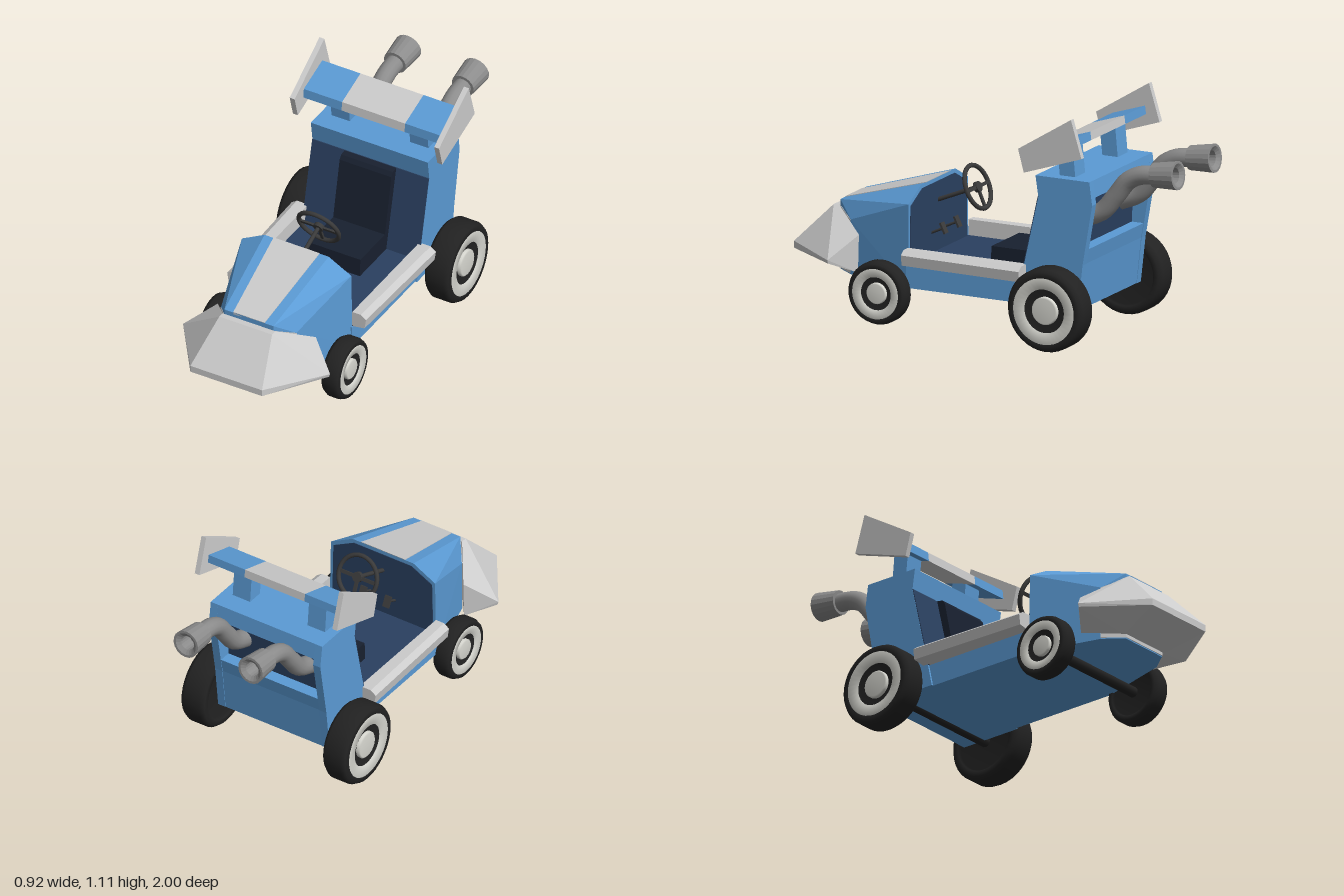
import * as THREE from 'three';
import { ConvexGeometry } from 'three/addons/geometries/ConvexGeometry.js';

const mat = (color, flatShading = true) =>
  new THREE.MeshStandardMaterial({ color, flatShading, side: THREE.DoubleSide });
const GREY = mat(0xcccccc), BLUE = mat(0x5b9bd5), NAVY = mat(0x2a4060), SEAT = mat(0x18202f);
const TYRE = mat(0x222222, false), RIM = mat(0xd6d6cf, false), PIPE = mat(0x8c8c8c, false), DARK = mat(0x3a3a3a, false);

export function createModel() {
  const kart = new THREE.Group();
  kart.name = 'goKart';

  const add = (name, geometry, material, parent = kart) => {
    const mesh = new THREE.Mesh(geometry, material);
    mesh.name = name;
    parent.add(mesh);
    return mesh;
  };
  // Faceted solid around a set of corners
  const hull = (name, points, material) =>
    add(name, new ConvexGeometry(points.map(p => new THREE.Vector3(...p))), material);
  // Corners repeated on both sides of the centre line
  const both = points => points.flatMap(([x, y, z]) => [[x, y, z], [-x, y, z]]);
  // Side profile of [z, y] points extended across x
  const prism = (name, profile, x0, x1, material) => {
    const shape = new THREE.Shape(profile.map(p => new THREE.Vector2(...p)));
    const g = new THREE.ExtrudeGeometry(shape, { depth: x1 - x0, bevelEnabled: false });
    return add(name, g.rotateY(-Math.PI / 2).translate(x1, 0, 0), material);
  };
  // Straight round bar between two points
  const rod = (name, a, b, r, material) => {
    const path = new THREE.LineCurve3(new THREE.Vector3(...a), new THREE.Vector3(...b));
    return add(name, new THREE.TubeGeometry(path, 1, r, 12), material);
  };

  // Chassis and floor
  prism('chassis', [[0.36, 0.18], [0.36, 0.29], [-0.5, 0.29], [-0.5, 0.18]], -0.3, 0.3, BLUE);
  prism('floor', [[0.35, 0.285], [0.35, 0.295], [-0.26, 0.295], [-0.26, 0.285]], -0.298, 0.298, NAVY);

  // Hood with stripe, rear opening and nose plate
  hull('hood', both([
    [0.17, 0.64, 0.35], [0.29, 0.575, 0.35], [0.297, 0.18, 0.35],
    [0.13, 0.51, 0.79], [0.2, 0.44, 0.7], [0.13, 0.18, 0.79], [0.2, 0.18, 0.7],
  ]), BLUE);
  hull('hoodStripe', both([
    [0.122, 0.643, 0.35], [0.083, 0.513, 0.79], [0.122, 0.63, 0.352], [0.083, 0.5, 0.79],
  ]), GREY);
  hull('hoodOpening', both([
    [0.16, 0.622, 0.347], [0.274, 0.562, 0.347], [0.28, 0.29, 0.347],
    [0.16, 0.622, 0.355], [0.274, 0.562, 0.355], [0.28, 0.29, 0.355],
  ]), NAVY);
  hull('nosePlate', both([
    [0.13, 0.485, 0.794], [0.13, 0.185, 0.794], [0.203, 0.44, 0.7], [0.203, 0.185, 0.7],
  ]), GREY);

  // Bumper: centre wedge and two swept-back ends
  const inner = [[0.14, 0.485, 0.82], [0.14, 0.485, 0.79], [0.19, 0.3, 1], [0.19, 0.267, 1], [0.14, 0.2, 0.79]];
  const outer = [[0.26, 0.39, 0.625], [0.39, 0.287, 0.72], [0.385, 0.27, 0.72], [0.26, 0.21, 0.63]];
  hull('bumperCentre', both(inner), GREY);
  for (const s of [1, -1]) {
    hull('bumperEnd', [...inner, ...outer].map(([x, y, z]) => [s * x, y, z]), GREY);
  }

  // Side pods
  for (const s of [1, -1]) {
    const section = [[0.295, 0.37], [0.355, 0.37], [0.383, 0.35], [0.375, 0.3], [0.295, 0.29]];
    hull('sidePod', section.flatMap(([x, y]) => [
      [s * (x - (x > 0.3 ? 0.015 : 0)), y, 0.35], [s * x, y, -0.27],
    ]), GREY);
  }

  // Rear tower: side walls, dark core, lintel and sill around the engine recess
  const wall = [
    [-0.22, 0.18], [-0.245, 0.3], [-0.335, 0.7], [-0.32, 0.8],
    [-0.6, 0.8], [-0.615, 0.69], [-0.565, 0.4], [-0.54, 0.18],
  ];
  prism('towerWall', wall, 0.27, 0.31, BLUE);
  prism('towerWall', wall, -0.31, -0.27, BLUE);
  prism('towerCore', [[-0.25, 0.19], [-0.25, 0.3], [-0.338, 0.7], [-0.525, 0.7], [-0.5, 0.19]], -0.27, 0.27, NAVY);
  prism('towerFront', [[-0.238, 0.29], [-0.331, 0.7], [-0.345, 0.7], [-0.255, 0.29]], -0.309, 0.309, NAVY);
  prism('towerLintel', [[-0.335, 0.7], [-0.32, 0.8], [-0.6, 0.8], [-0.61, 0.72], [-0.53, 0.69]], -0.27, 0.27, BLUE);
  prism('towerSill', [[-0.49, 0.18], [-0.5, 0.47], [-0.575, 0.47], [-0.562, 0.4], [-0.538, 0.18]], -0.27, 0.27, BLUE);

  // Seat
  prism('seatCushion', [[0.005, 0.29], [0, 0.385], [-0.26, 0.385], [-0.25, 0.29]], -0.137, 0.137, SEAT);
  prism('seatBack', [[-0.225, 0.38], [-0.285, 0.675], [-0.3, 0.695], [-0.335, 0.7], [-0.26, 0.38]], -0.137, 0.137, SEAT);

  // Steering wheel and column
  rod('steeringColumn', [0, 0.52, 0.38], [0, 0.617, 0.145], 0.01, DARK);
  const steering = new THREE.Group();
  steering.name = 'steeringWheel';
  steering.position.set(0, 0.617, 0.145);
  steering.rotation.x = 0.4;
  kart.add(steering);
  add('steeringRim', new THREE.TorusGeometry(0.104, 0.011, 8, 32), DARK, steering);
  add('steeringHub', new THREE.CylinderGeometry(0.025, 0.025, 0.02, 16).rotateX(Math.PI / 2), DARK, steering);
  for (const a of [0, Math.PI, -Math.PI / 2]) {
    const spoke = new THREE.BoxGeometry(0.1, 0.016, 0.01).translate(0.052, 0, 0).rotateZ(a);
    add('steeringSpoke', spoke, DARK, steering);
  }

  // Pedals
  for (const x of [0.068, -0.068]) {
    rod('pedalArm', [x, 0.385, 0.36], [x, 0.42, 0.285], 0.006, DARK);
    const pedal = add('pedal', new THREE.BoxGeometry(0.034, 0.055, 0.01), DARK);
    pedal.position.set(x, 0.42, 0.285);
    pedal.rotation.x = 0.45;
  }

  // Spoiler: struts, wing in three colour sections, end plates
  const wing = [[-0.355, 0.9], [-0.36, 0.945], [-0.53, 1.0], [-0.535, 0.96]];
  prism('wingCentre', wing, -0.167, 0.167, GREY);
  for (const s of [1, -1]) {
    const across = (name, profile, a, b, m) =>
      prism(name, profile, Math.min(s * a, s * b), Math.max(s * a, s * b), m);
    across('wingSide', wing, 0.167, 0.37, BLUE);
    across('wingStrut', [[-0.42, 0.79], [-0.405, 0.93], [-0.485, 0.95], [-0.5, 0.79]], 0.16, 0.257, BLUE);
    across('endPlate', [[-0.275, 0.94], [-0.55, 1.11], [-0.605, 0.93], [-0.305, 0.83]], 0.37, 0.396, GREY);
  }

  // Exhaust pipes with flared hollow tips
  const bend = [[0.59, -0.5], [0.635, -0.6], [0.715, -0.67], [0.795, -0.735], [0.828, -0.8], [0.838, -0.89]];
  const tip = [[0, 0.04], [0.036, 0.04], [0.036, 0.11], [0.056, 0.125], [0.068, 0.125], [0.058, 0], [0, 0]];
  for (const x of [0.18, -0.18]) {
    const path = new THREE.CatmullRomCurve3(bend.map(([y, z]) => new THREE.Vector3(x, y, z)));
    add('exhaustPipe', new THREE.TubeGeometry(path, 24, 0.044, 14), PIPE);
    const flare = add('exhaustTip', new THREE.LatheGeometry(tip.map(p => new THREE.Vector2(...p)), 18), mat(0x8c8c8c));
    flare.position.set(x, 0.838, -0.87);
    flare.rotation.x = -Math.PI / 2 + 0.1;
  }

  // Wheels: tyre, pale ring and hub cap, turned around the axle
  const lathe = points => new THREE.LatheGeometry(points.map(p => new THREE.Vector2(...p)), 36);
  const wheel = (name, r, w, x, z, s) => {
    const g = new THREE.Group();
    g.name = name;
    g.position.set(s * x, r + 0.003, z);
    g.rotation.z = -s * Math.PI / 2;
    kart.add(g);
    add('tyre', lathe([
      [0, 0.015], [0.75 * r, 0.015], [0.78 * r, 0], [0.92 * r, 0], [r, 0.02], [r, w - 0.025],
      [0.94 * r, w - 0.004], [0.8 * r, w - 0.002], [0.79 * r, w - 0.012], [0.52 * r, w - 0.012],
      [0.5 * r, w - 0.025], [0, w - 0.025],
    ]), TYRE, g);
    add('wheelRing', lathe([
      [0.8 * r, w - 0.015], [0.8 * r, w - 0.001], [0.53 * r, w - 0.006], [0.52 * r, w - 0.025],
    ]), RIM, g);
    add('hubCap', lathe([
      [0.335 * r, w - 0.03], [0.335 * r, w - 0.012], [0.3 * r, w - 0.006], [0, w - 0.006],
    ]), RIM, g);
  };
  for (const s of [1, -1]) {
    wheel('frontWheel', 0.149, 0.092, 0.285, 0.48, s);
    wheel('rearWheel', 0.197, 0.13, 0.33, -0.44, s);
  }
  rod('frontAxle', [-0.31, 0.153, 0.48], [0.31, 0.153, 0.48], 0.025, TYRE);
  rod('rearAxle', [-0.36, 0.19, -0.44], [0.36, 0.19, -0.44], 0.025, TYRE);

  return kart;
}
